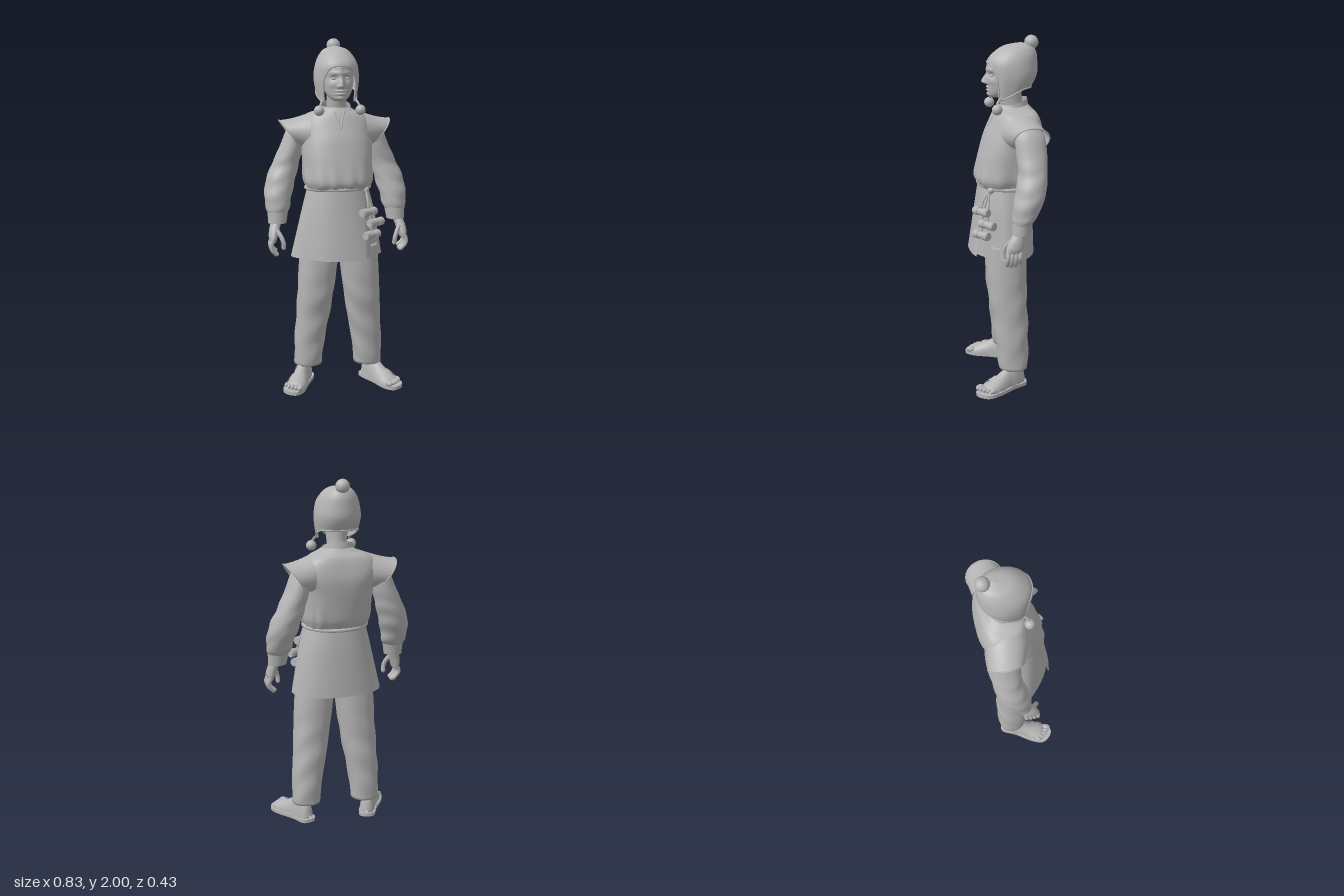
import * as THREE from 'three';
import { mergeVertices } from 'three/addons/utils/BufferGeometryUtils.js';

const clay = new THREE.MeshStandardMaterial({ color: 0xb4b4b4, side: THREE.DoubleSide });
clay.name = 'clay grey';

const V = (x, y, z) => new THREE.Vector3(x, y, z);
const step = THREE.MathUtils.smoothstep;
const lerp = THREE.MathUtils.lerp;
const gauss = (d, s) => Math.exp(-(d * d) / (s * s));
const spow = (v, e) => Math.sign(v) * Math.abs(v) ** e;

function add(parent, name, geometry, x = 0, y = 0, z = 0) {
  const m = new THREE.Mesh(geometry, clay);
  m.name = name;
  m.position.set(x, y, z);
  parent.add(m);
  return m;
}

// Smooth surface from fn(u, v) -> Vector3, u and v in 0..1
function grid(fn, nu, nv) {
  const pos = [], idx = [];
  for (let j = 0; j <= nv; j++)
    for (let i = 0; i <= nu; i++) pos.push(...fn(i / nu, j / nv).toArray());
  for (let j = 0; j < nv; j++)
    for (let i = 0; i < nu; i++) {
      const a = j * (nu + 1) + i, b = a + nu + 1;
      idx.push(a, a + 1, b, a + 1, b + 1, b);
    }
  const g = new THREE.BufferGeometry();
  g.setAttribute('position', new THREE.Float32BufferAttribute(pos, 3));
  g.setIndex(idx);
  const merged = mergeVertices(g, 1e-5);
  merged.computeVertexNormals();
  return merged;
}

// Catmull-Rom through rows of numbers
function sample(rows, v) {
  const n = rows.length - 1, k = Math.min(Math.floor(v * n), n - 1), t = v * n - k;
  const r = i => rows[Math.max(0, Math.min(n, i))];
  return rows[0].map((_, c) => {
    const a = r(k - 1)[c], b = r(k)[c], d = r(k + 1)[c], e = r(k + 2)[c];
    return b + 0.5 * t * (d - a + t * (2 * a - 5 * b + 4 * d - e + t * (3 * (b - d) + e - a)));
  });
}

// Horizontal rings [x, y, z, rx, rz], lowest first; p squares the rings, warp moves points
function loft(rings, { p = 2, nu = 48, nv = 32, capped = true, warp = null } = {}) {
  return grid((u, v) => {
    const w = capped ? Math.min(1, Math.max(0, (v * (nv + 2) - 1) / nv)) : v;
    const [x, y, z, rx, rz] = sample(rings, w);
    const k = capped && (v === 0 || v === 1) ? 0 : 1, a = u * Math.PI * 2;
    const q = V(x + k * rx * spow(Math.sin(a), 2 / p), y, z + k * rz * spow(Math.cos(a), 2 / p));
    if (warp) warp(q, a, k);
    return q;
  }, nu, capped ? nv + 2 : nv);
}

const tube = (pts, r, closed = false, seg = 24) =>
  new THREE.TubeGeometry(new THREE.CatmullRomCurve3(pts.map(q => V(...q)), closed), seg, r, 8, closed);

function buildHead(g) {
  add(g, 'neck', loft([[0, 1.56, -0.06, 0.062, 0.068], [0, 1.64, -0.04, 0.056, 0.064], [0, 1.72, -0.03, 0.06, 0.07]]));
  // Face relief: nose, brow, sockets, cheeks, lips and chin
  const relief = (q) => {
    if (q.z < 0) return;
    const x = Math.abs(q.x), y = q.y;
    q.z += 0.036 * gauss(x, 0.016) * step(y, 1.732, 1.752) * (1 - 0.85 * step(y, 1.752, 1.81))
      + 0.012 * gauss(x - 0.014, 0.008) * gauss(y - 1.746, 0.01)
      - 0.011 * gauss(x - 0.036, 0.02) * gauss(y - 1.792, 0.013)
      + 0.006 * gauss(x - 0.035, 0.03) * gauss(y - 1.82, 0.012)
      + 0.008 * gauss(x - 0.05, 0.02) * gauss(y - 1.755, 0.02)
      + 0.010 * gauss(x, 0.028) * (gauss(y - 1.722, 0.007) + gauss(y - 1.706, 0.007))
      - 0.004 * gauss(x, 0.03) * gauss(y - 1.714, 0.004)
      + 0.008 * gauss(x, 0.022) * gauss(y - 1.682, 0.012);
  };
  add(g, 'face', loft([[0, 1.665, 0.035, 0.03, 0.04], [0, 1.68, 0.03, 0.052, 0.057], [0, 1.71, 0.01, 0.073, 0.08],
    [0, 1.75, -0.015, 0.087, 0.105], [0, 1.79, -0.033, 0.092, 0.125], [0, 1.83, -0.038, 0.092, 0.13],
    [0, 1.87, -0.045, 0.085, 0.125], [0, 1.9, -0.06, 0.06, 0.085]], { nu: 120, nv: 90, warp: relief }));
  for (const s of [-1, 1]) {
    const eye = add(g, 'eye', new THREE.SphereGeometry(0.012, 16, 12), s * 0.036, 1.79, 0.072);
    eye.scale.set(1.25, 0.65, 0.8);
  }
  // Knitted cap whose lower edge dips into ear flaps
  const rows = [[1.65, -0.02, 0.104, 0.083], [1.72, -0.04, 0.119, 0.11], [1.79, -0.053, 0.127, 0.131],
    [1.86, -0.047, 0.118, 0.139], [1.91, -0.063, 0.095, 0.117], [1.945, -0.08, 0.06, 0.076], [1.962, -0.095, 0, 0]];
  const edge = a => {
    const d = Math.abs(Math.atan2(Math.sin(a), Math.cos(a))) * 180 / Math.PI;
    return d < 47 ? 1.858 - 0.196 * (d / 47) ** 5 : 1.662 + 0.06 * step(d, 55, 125);
  };
  const capPoint = (u, v) => {
    const a = u * Math.PI * 2, start = edge(a);
    // find the profile position of the lower edge
    let lo = 0, hi = 1;
    for (let i = 0; i < 18; i++) { const m = (lo + hi) / 2; if (sample(rows, m)[0] < start) lo = m; else hi = m; }
    const [y, z, rx, rz] = sample(rows, lo + (1 - lo) * v);
    const p = 2 + 0.6 * step(Math.cos(a), 0, 0.5) * (1 - step(y, 1.76, 1.88));
    return V(rx * spow(Math.sin(a), 2 / p), y, z + rz * spow(Math.cos(a), 2 / p));
  };
  add(g, 'cap', grid(capPoint, 128, 40));
  const rim = [];
  for (let i = 0; i < 96; i++) rim.push(capPoint(i / 96, 0).toArray());
  add(g, 'capRim', tube(rim, 0.005, true, 192));
  add(g, 'capPompom', new THREE.SphereGeometry(0.039, 24, 16), 0.005, 1.961, -0.153);
  for (const s of [-1, 1]) {
    add(g, 'flapCord', tube([[s * 0.093, 1.672, 0.035], [s * 0.106, 1.65, 0.055], [s * 0.116, 1.62, 0.06]], 0.007));
    add(g, 'flapPompom', new THREE.SphereGeometry(0.029, 20, 14), s * 0.117, 1.614, 0.06);
  }
}

function buildTunic(g) {
  // Shoulders sweep back; cloth gathers at the waist
  const cloth = (q, a) => {
    q.z -= 0.06 * (q.x / 0.3) ** 2 * step(q.y, 1.35, 1.52);
    const f = 0.004 * Math.sin(13 * a + 9 * q.y + 2 * Math.sin(3 * a)) * (1 - step(q.y, 1.2, 1.36)) * step(q.y, 1.16, 1.2);
    q.x += f * Math.sin(a);
    q.z += f * Math.cos(a);
  };
  add(g, 'tunicBody', loft([[0, 1.165, -0.005, 0.174, 0.14], [0, 1.195, -0.002, 0.187, 0.16], [0, 1.23, -0.006, 0.196, 0.17],
    [0, 1.3, -0.02, 0.196, 0.17], [0, 1.39, -0.038, 0.2, 0.166], [0, 1.46, -0.05, 0.205, 0.158],
    [0, 1.53, -0.058, 0.202, 0.136], [0, 1.577, -0.06, 0.17, 0.117], [0, 1.602, -0.055, 0.11, 0.098],
    [0, 1.625, -0.052, 0.07, 0.08]], { p: 2.5, nu: 96, nv: 64, capped: false, warp: cloth }));
  // Flared shoulder caps, open around the upper arms
  for (const s of [-1, 1]) {
    const flare = (u, v) => {
      const a = s * u * Math.PI * 2, c = Math.cos(a);
      return V(s * (lerp(0.16, 0.262, v) + c * 0.057 * v),
        lerp(1.478, 1.47, v) + c * lerp(0.108, 0.077, v) - 0.006 * Math.sin(Math.PI * v) * c,
        lerp(-0.07, -0.1, v) + Math.sin(a) * lerp(0.117, 0.098, v));
    };
    add(g, 'shoulderCap', grid(flare, 48, 10));
    const hem = [];
    for (let i = 0; i < 32; i++) hem.push(flare(i / 32, 1).toArray());
    add(g, 'shoulderCapHem', tube(hem, 0.004, true, 64));
  }
  // Stand collar, higher at the back, and neck slit
  add(g, 'collar', grid((u, v) => {
    const a = u * Math.PI * 2, k = 1 - 0.1 * v;
    return V(0.092 * k * Math.sin(a), 1.578 + 0.055 * v - 0.026 * Math.cos(a), -0.052 + 0.087 * k * Math.cos(a));
  }, 48, 4));
  for (const s of [-1, 1])
    add(g, 'neckSlit', tube([[s * 0.028, 1.605, 0.042], [s * 0.013, 1.555, 0.066], [0, 1.505, 0.09]], 0.004));
  // Skirt, pulled flat beside the front, with overlapping front panel
  add(g, 'skirt', loft([[-0.01, 0.78, 0.012, 0.263, 0.178], [-0.005, 0.9, 0.008, 0.238, 0.17], [0, 1.05, 0.002, 0.206, 0.157],
    [0, 1.18, -0.005, 0.172, 0.138]], { p: 2.2, nu: 72, nv: 20, capped: false, warp: (q, a) => {
    q.z -= 0.11 * Math.max(0, Math.cos(a)) * Math.sin(a) ** 2 * (1.18 - q.y) / 0.4;
  } }));
  add(g, 'frontPanel', grid((u, v) => {
    const x = -0.125 + 0.255 * u, y = 0.782 + 0.395 * v, t = 1 - v;
    const rx = 0.172 + 0.091 * t, rz = 0.144 + 0.044 * t;
    return V(x, y, 0.002 + 0.012 * t + rz * (1 - Math.abs(x / rx) ** 2.2) ** (1 / 2.2));
  }, 30, 16));
  const belt = [];
  for (let i = 0; i < 24; i++) {
    const a = i / 24 * Math.PI * 2;
    belt.push([0.182 * Math.sin(a), 1.173 + 0.006 * Math.cos(a), -0.004 + 0.15 * Math.cos(a)]);
  }
  add(g, 'belt', tube(belt, 0.011, true, 72));
  add(g, 'beltKnot', new THREE.SphereGeometry(0.019, 16, 12), 0.14, 1.168, 0.1);
  // Small wrapped bundles hanging from the belt
  for (const [x, y, z] of [[0.145, 1.05, 0.155], [0.192, 0.985, 0.13], [0.165, 0.92, 0.158]]) {
    add(g, 'cord', tube([[0.14, 1.168, 0.108], [(0.14 + x) / 2, (1.17 + y) / 2, z - 0.01], [x, y, z]], 0.006));
    const b = new THREE.Group();
    b.name = 'bundle';
    b.position.set(x, y, z);
    b.rotation.y = 0.6;
    for (const [r, len, off] of [[0.021, 0.11, 0], [0.024, 0.032, -0.034], [0.024, 0.032, 0.034]])
      add(b, 'bundleRoll', new THREE.CylinderGeometry(r, r, len, 20), off).rotation.z = Math.PI / 2;
    g.add(b);
  }
}

// Left arm; the right one is its mirror
function buildArm(g) {
  const folds = (q, a, k) => {
    const f = k * 0.003 * Math.sin(60 * q.y + 3 * Math.sin(a + 0.7)) * Math.cos(a - 1) * step(1.42 - q.y, 0, 0.15);
    q.x += f * Math.sin(a);
    q.z += f * Math.cos(a);
  };
  add(g, 'sleeve', loft([[0.342, 1.035, -0.036, 0.058, 0.054], [0.341, 1.065, -0.045, 0.07, 0.067], [0.336, 1.12, -0.062, 0.077, 0.078],
    [0.32, 1.2, -0.085, 0.084, 0.084], [0.285, 1.3, -0.103, 0.077, 0.08], [0.249, 1.4, -0.103, 0.066, 0.085],
    [0.228, 1.48, -0.1, 0.055, 0.08], [0.22, 1.53, -0.1, 0.03, 0.05]], { nv: 56, warp: folds }));
  add(g, 'cuff', loft([[0.347, 0.972, -0.026, 0.052, 0.05], [0.344, 1.01, -0.031, 0.056, 0.053], [0.342, 1.045, -0.036, 0.06, 0.056]]));
  add(g, 'palm', loft([[0.378, 0.872, 0.018, 0.016, 0.042], [0.377, 0.9, 0.014, 0.025, 0.047], [0.368, 0.94, 0.002, 0.029, 0.042],
    [0.355, 0.98, -0.015, 0.03, 0.033]], { nv: 16 }));
  const digit = (name, pts, r) => {
    add(g, name, tube(pts, r, false, 14));
    add(g, name + 'Tip', new THREE.SphereGeometry(r, 12, 8), ...pts[pts.length - 1]);
  };
  for (let i = 0; i < 4; i++) {
    const z = -0.016 + i * 0.022, drop = [0.015, 0.003, 0, 0.006][i];
    digit('finger', [[0.378, 0.895, z], [0.392, 0.855, z + 0.003], [0.384, 0.822 + drop, z + 0.004], [0.362, 0.8 + drop, z + 0.002]], 0.0125);
  }
  digit('thumb', [[0.36, 0.945, 0.026], [0.336, 0.905, 0.052], [0.324, 0.87, 0.06], [0.322, 0.843, 0.056]], 0.013);
}

function buildLeg(g) {
  const folds = (q, a, k) => {
    const f = k * 0.0035 * Math.sin(34 * q.y + 3 * Math.sin(a + 1)) * Math.cos(a + 0.5) * (1 - step(q.y, 0.5, 0.75));
    q.x += f * Math.sin(a);
    q.z += f * Math.cos(a);
  };
  add(g, 'trouserLeg', loft([[0.182, 0.11, -0.02, 0.08, 0.083], [0.174, 0.25, -0.014, 0.087, 0.093], [0.156, 0.4, -0.007, 0.096, 0.1],
    [0.14, 0.55, 0.005, 0.104, 0.108], [0.126, 0.7, 0.008, 0.11, 0.113], [0.112, 0.85, 0.01, 0.115, 0.11]], { p: 2.2, nu: 60, warp: folds }));
  const foot = new THREE.Group();
  foot.name = 'foot';
  foot.position.set(0.242, 0, 0.056);
  foot.rotation.y = 0.45;
  g.add(foot);
  // Sandal sole
  const outline = [[0.045, -0.14], [0.05, -0.05], [0.068, 0.06], [0.062, 0.13], [0.02, 0.165], [-0.03, 0.165],
    [-0.056, 0.11], [-0.05, 0], [-0.045, -0.14], [0, -0.165]].map(q => new THREE.Vector2(...q));
  const shape = new THREE.Shape();
  shape.moveTo(0, -0.165);
  shape.splineThru(outline);
  const sole = new THREE.ExtrudeGeometry(shape, { depth: 0.02, bevelEnabled: false, curveSegments: 40 });
  add(foot, 'sandalSole', sole.rotateX(Math.PI / 2).translate(0, 0.02, 0));
  // Bare foot, straps over it and toes
  const rows = [[-0.152, 0.01, 0.02], [-0.135, 0.034, 0.09], [-0.09, 0.042, 0.15], [-0.04, 0.043, 0.115],
    [0.02, 0.05, 0.075], [0.07, 0.057, 0.053], [0.11, 0.056, 0.036], [0.128, 0.046, 0.01]];
  const skin = (u, v, grow = 0) => {
    const [z, w, h] = sample(rows, v), t = u * Math.PI;
    return V((w + grow) * Math.cos(t), 0.018 + (h + grow) * Math.sin(t), z);
  };
  add(foot, 'footBody', grid((u, v) => skin(u, v), 24, 28));
  for (const [v0, v1] of [[0.6, 0.76], [0.76, 0.58], [0.4, 0.4]])
    add(foot, 'sandalStrap', grid((u, w) => skin(u, v0 + (v1 - v0) * u + (w - 0.5) * 0.08, 0.006), 24, 4));
  for (let i = 0; i < 5; i++) {
    const toe = add(foot, 'toe', new THREE.SphereGeometry(1, 14, 10), -0.037 + i * 0.022 - (i ? 0 : 0.002), 0.034, 0.131 - 0.002 * i * i);
    toe.scale.set(i ? 0.0125 : 0.018, i ? 0.014 : 0.018, i ? 0.025 : 0.028);
  }
}

export function createModel() {
  const model = new THREE.Group();
  model.name = 'standingFigure';
  const part = (name, build, mirror = 1) => {
    const g = new THREE.Group();
    g.name = name;
    g.scale.x = mirror;
    build(g);
    model.add(g);
    return g;
  };
  part('head', buildHead);
  part('tunic', buildTunic);
  part('leftArm', buildArm);
  part('rightArm', buildArm, -1);
  part('leftLeg', buildLeg);
  part('rightLeg', buildLeg, -1).position.set(0.012, 0, -0.032);
  return model;
}
